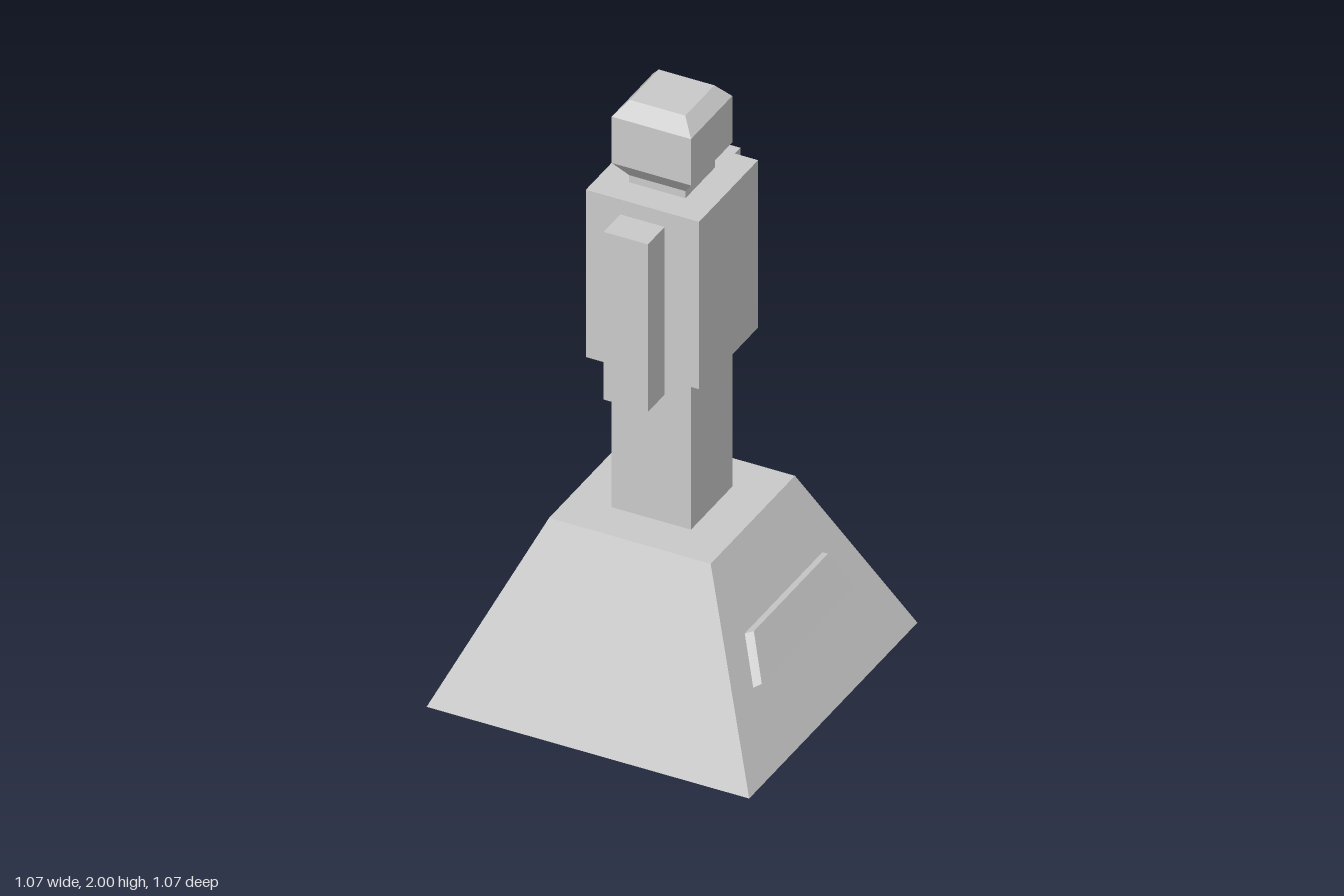
import * as THREE from 'three';

const material = new THREE.MeshStandardMaterial({ color: 0xcccccc, flatShading: true });

function addPart(group, name, geometry) {
  const mesh = new THREE.Mesh(geometry, material);
  mesh.name = name;
  group.add(mesh);
  return mesh;
}

// Box standing between two heights
function block(width, depth, y0, y1) {
  return new THREE.BoxGeometry(width, y1 - y0, depth).translate(0, (y0 + y1) / 2, 0);
}

// Square stack of [half width, height] rings, listed from bottom to top
function squareStack(rings) {
  const points = rings.map(([half, y]) => new THREE.Vector2(half * Math.SQRT2, y));
  return new THREE.LatheGeometry(points, 4, Math.PI / 4);
}

// Bevelled plaque lying on the sloping +x side of the base
function plaqueGeometry() {
  const geometry = new THREE.BoxGeometry(1, 1, 1);
  const p = geometry.attributes.position;
  // [x, y, half length] of each long edge
  const inner = { top: [0.367, 0.362, 0.247], bottom: [0.429, 0.227, 0.31] };
  const outer = { top: [0.393, 0.371, 0.235], bottom: [0.45, 0.238, 0.294] };
  for (let i = 0; i < p.count; i++) {
    const side = p.getX(i) > 0 ? outer : inner;
    const [x, y, half] = p.getY(i) > 0 ? side.top : side.bottom;
    p.setXYZ(i, x, y, Math.sign(p.getZ(i)) * half);
  }
  geometry.computeVertexNormals();
  return geometry;
}

export function createModel() {
  const model = new THREE.Group();
  model.name = 'statue';

  // Pedestal
  addPart(model, 'base', squareStack([[0, 0], [0.533, 0], [0.267, 0.587], [0, 0.587]]));
  addPart(model, 'plaque', plaqueGeometry());

  // Figure
  addPart(model, 'legs', block(0.262, 0.262, 0.587, 1.127));
  addPart(model, 'torso', block(0.374, 0.374, 1.127, 1.712));
  for (const side of [1, -1]) {
    const arm = addPart(model, side > 0 ? 'frontArm' : 'backArm', block(0.146, 0.106, 1.074, 1.66));
    arm.position.z = side * 0.24;
  }
  addPart(model, 'neck', block(0.186, 0.186, 1.712, 1.737));
  addPart(model, 'head', squareStack([
    [0, 1.737], [0.093, 1.737], [0.131, 1.79], [0.131, 1.952], [0.092, 2], [0, 2],
  ]));

  return model;
}
